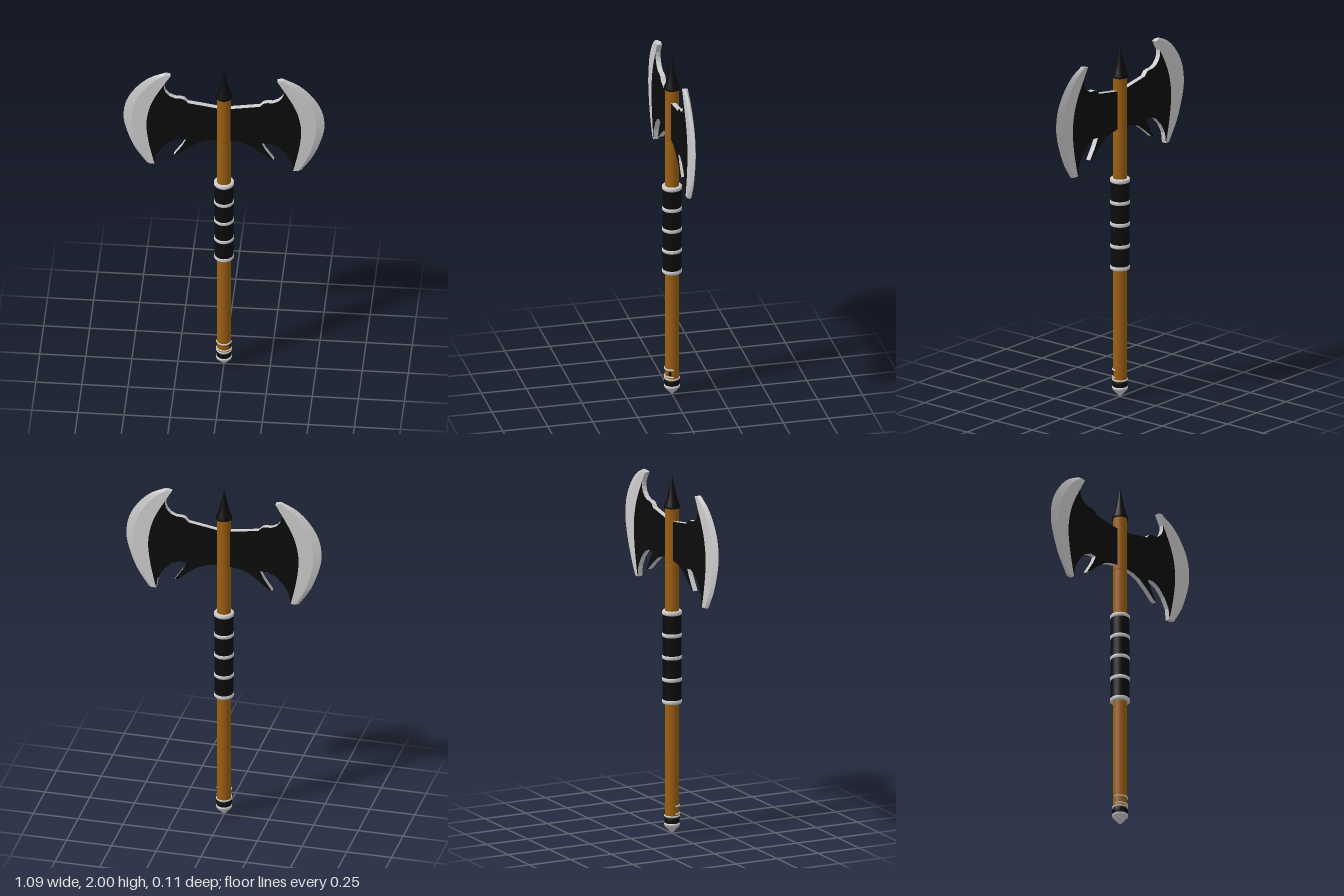
import * as THREE from 'three';

const silver = new THREE.MeshStandardMaterial({ color: 0xcccccc });
const steel = new THREE.MeshStandardMaterial({ color: 0xcccccc, flatShading: true });
const black = new THREE.MeshStandardMaterial({ color: 0x0c0c0c });
const wood = new THREE.MeshStandardMaterial({ color: 0x9c5f10 });
const HALF = 0.014; // half thickness of the blade
const STEPS = 28;

const v2 = ([x, y]) => new THREE.Vector2(x, y);
const spline = (pts) => new THREE.SplineCurve(pts.map(v2));

// Line where the cutting edge meets the blade body, and the sharp outer line, top to bottom
const innerLine = spline([[0.29, 1.95], [0.325, 1.89], [0.375, 1.8], [0.405, 1.72],
  [0.42, 1.62], [0.41, 1.51], [0.39, 1.41], [0.375, 1.35]]);
const outerLine = spline([[0.33, 1.96], [0.41, 1.92], [0.48, 1.85], [0.53, 1.76],
  [0.545, 1.66], [0.53, 1.57], [0.485, 1.45], [0.42, 1.35]]);

function add(parent, name, geometry, material) {
  const mesh = new THREE.Mesh(geometry, material);
  mesh.name = name;
  parent.add(mesh);
  return mesh;
}

function lathe(parent, name, pts, material, start = 0, sweep = Math.PI * 2) {
  return add(parent, name, new THREE.LatheGeometry(pts.map(v2), 32, start, sweep), material);
}

// Rounded band around the shaft
function band(parent, name, y, r, h, material, start, sweep) {
  const a = h / 2;
  return lathe(parent, name, [[0.03, y - a], [r - 0.005, y - a], [r, y - a * 0.5],
    [r, y + a * 0.5], [r - 0.005, y + a], [0.03, y + a]], material, start, sweep);
}

// Flat body of both blades: half outline, mirrored
function bodyGeometry() {
  const upper = [[0.04, 1.75], [0.195, 1.775], [0.215, 1.797], [0.235, 1.803], [0.265, 1.803],
    [0.295, 1.817], [0.316, 1.84], [0.325, 1.865]].map(v2);
  const edge = innerLine.getPoints(STEPS).slice(STEPS / 7);
  const lower = [[0.367, 1.41], [0.335, 1.465], [0.29, 1.51], [0.245, 1.53], [0.205, 1.527],
    [0.225, 1.485], [0.272, 1.415], [0.255, 1.418], [0.2, 1.465], [0.14, 1.508],
    [0.09, 1.526], [0.04, 1.533]].map(v2);
  const right = [...upper, ...edge, ...lower];
  const left = right.map((p) => new THREE.Vector2(-p.x, p.y)).reverse();
  const g = new THREE.ExtrudeGeometry(new THREE.Shape([...right, ...left]),
    { depth: HALF * 2, bevelEnabled: false });
  return g.translate(0, 0, -HALF);
}

// Bevelled crescent: five-point section swept from the top tip to the bottom one
function edgeGeometry() {
  const pos = [], idx = [];
  for (let k = 0; k <= STEPS; k++) {
    const a = innerLine.getPoint(k / STEPS), b = outerLine.getPoint(k / STEPS);
    const m = a.clone().lerp(b, 0.65);
    for (const [p, z] of [[a, HALF], [m, HALF * 0.9], [b, 0], [m, -HALF * 0.9], [a, -HALF]])
      pos.push(p.x, p.y, z);
  }
  for (let k = 0; k < STEPS; k++) {
    for (let j = 0; j < 5; j++) {
      const a = k * 5 + j, d = k * 5 + (j + 1) % 5;
      idx.push(a, a + 5, d, a + 5, d + 5, d);
    }
  }
  const e = STEPS * 5;
  for (let j = 1; j < 4; j++) idx.push(0, j, j + 1, e, e + j + 1, e + j);
  const g = new THREE.BufferGeometry();
  g.setAttribute('position', new THREE.Float32BufferAttribute(pos, 3));
  g.setIndex(idx);
  g.computeVertexNormals();
  return g;
}

export function createModel() {
  const axe = new THREE.Group();
  axe.name = 'doubleAxe';

  // Wooden shaft with a fine seam below the blades
  lathe(axe, 'shaft', [[0.039, 0.06], [0.039, 1.503], [0.036, 1.506], [0.036, 1.51],
    [0.039, 1.513], [0.039, 1.83]], wood);

  // Spike on top
  lathe(axe, 'topSpike', [[0, 1.82], [0.045, 1.82], [0.044, 1.832], [0.036, 1.85],
    [0.024, 1.89], [0.012, 1.945], [0, 2]], black);

  // Blades
  const blades = new THREE.Group();
  blades.name = 'blades';
  axe.add(blades);
  add(blades, 'bladeBody', bodyGeometry(), [black, steel]);
  const edge = edgeGeometry();
  add(blades, 'leftCuttingEdge', edge, steel);
  add(blades, 'rightCuttingEdge', edge, steel).rotation.y = Math.PI;

  // Grip with five rings
  const grip = new THREE.Group();
  grip.name = 'grip';
  axe.add(grip);
  const wrap = new THREE.CylinderGeometry(0.051, 0.051, 0.495, 32);
  add(grip, 'gripWrap', wrap.translate(0, 0.987, 0), black);
  for (let i = 0; i < 5; i++) band(grip, 'gripRing', 0.74 + i * 0.1237, 0.055, 0.024, silver);

  // Pommel: dark band between two rings, with a pointed end
  const pommel = new THREE.Group();
  pommel.name = 'pommel';
  axe.add(pommel);
  band(pommel, 'pommelBand', 0.077, 0.042, 0.04, black);
  band(pommel, 'pommelRing', 0.1, 0.043, 0.01, silver);
  band(pommel, 'pommelRing', 0.055, 0.044, 0.012, silver);
  lathe(pommel, 'pommelPoint', [[0, 0], [0.012, 0.012], [0.042, 0.045], [0.042, 0.053]], silver);

  // Half rings on the front of the shaft, with a small dark clasp
  const halfRing = silver.clone();
  halfRing.side = THREE.DoubleSide;
  for (const y of [0.115, 0.158])
    band(pommel, 'frontHalfRing', y, 0.043, 0.01, halfRing, -Math.PI / 2, Math.PI);
  band(pommel, 'clasp', 0.137, 0.042, 0.032, black, 0.85, 0.4);
  return axe;
}
